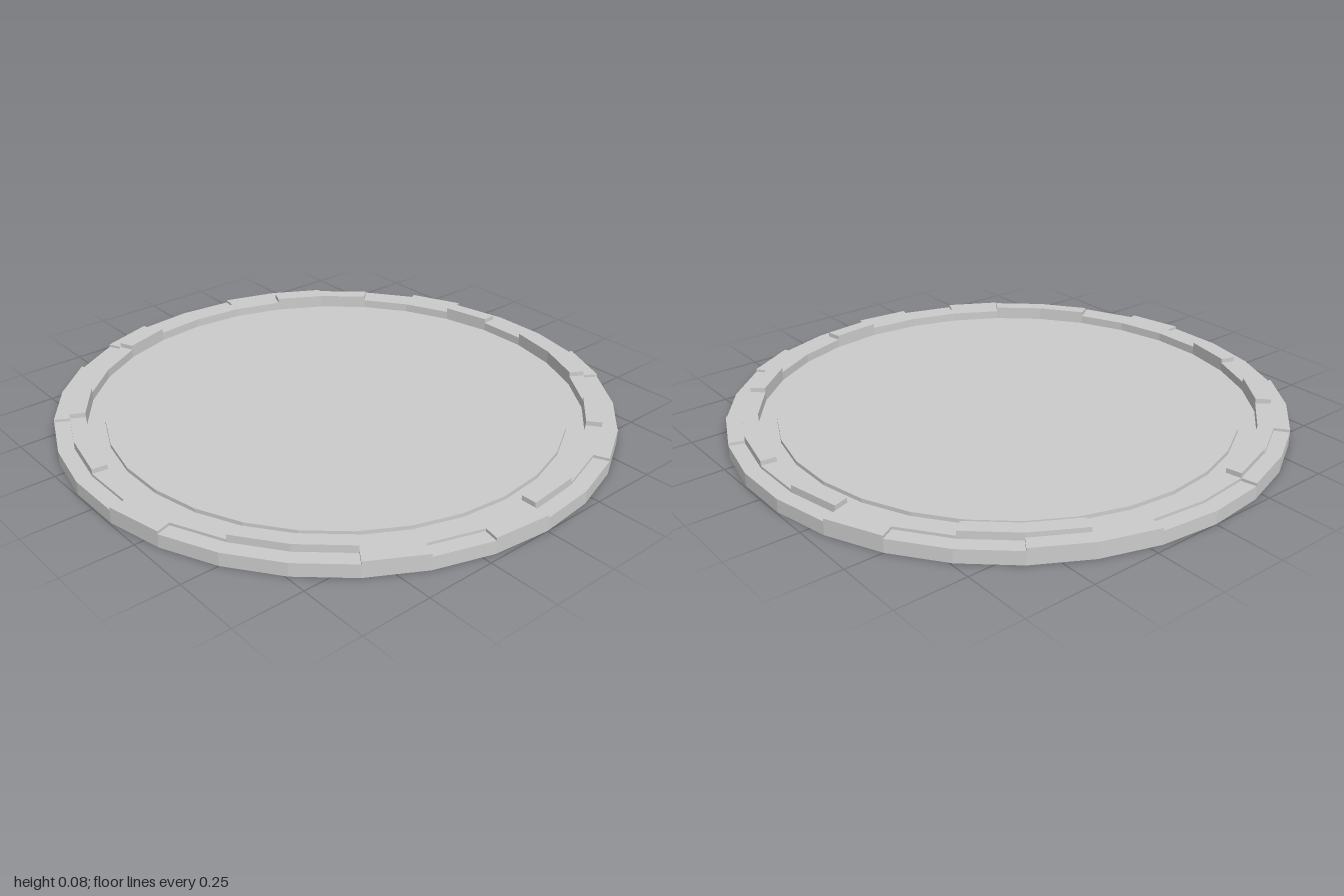
import * as THREE from 'three';

const SIDES = 30;
const LOW = 0.048, HIGH = 0.058, TALL = 0.075, GROOVE = 0.026, DISC = 0.04;

const material = new THREE.MeshStandardMaterial({
  color: 0xcccccc, flatShading: true, side: THREE.DoubleSide,
});

// Corner k of the 30-sided plan, counted from the back towards +x
const corner = (k, r, y) => {
  const a = (k / SIDES) * Math.PI * 2;
  return [r * Math.sin(a), y, -r * Math.cos(a)];
};

// One height per sector, raised in the listed sectors
const heights = (base, raised = [], top = base) =>
  Array.from({ length: SIDES }, (_, k) => (raised.includes(k) ? top : base));

function quadMesh(name, quads) {
  const positions = [];
  for (const [a, b, c, d] of quads) positions.push(...a, ...b, ...c, ...a, ...c, ...d);
  const geometry = new THREE.BufferGeometry();
  geometry.setAttribute('position', new THREE.Float32BufferAttribute(positions, 3));
  geometry.computeVertexNormals();
  const mesh = new THREE.Mesh(geometry, material);
  mesh.name = name;
  return mesh;
}

// Flat ring whose sectors step up and down, with the wall at its outer edge
function steppedRing(name, outer, inner, levels, outsideLevels) {
  const quads = [];
  levels.forEach((y, k) => {
    quads.push([corner(k, inner, y), corner(k + 1, inner, y), corner(k + 1, outer, y), corner(k, outer, y)]);
    const out = outsideLevels[k];
    if (out !== y) {
      quads.push([corner(k, outer, out), corner(k, outer, y), corner(k + 1, outer, y), corner(k + 1, outer, out)]);
    }
    const before = levels[(k + SIDES - 1) % SIDES];
    if (before !== y) {
      quads.push([corner(k, inner, before), corner(k, inner, y), corner(k, outer, y), corner(k, outer, before)]);
    }
  });
  return quadMesh(name, quads);
}

export function createModel() {
  const group = new THREE.Group();
  group.name = 'steppedRoundPlate';

  const rim = heights(LOW, [1, 2, 5, 9, 12, 15, 17, 21, 25, 26, 28], HIGH);
  const blocks = heights(HIGH, [2, 3, 6, 8, 9, 11, 14, 18, 19, 23, 25, 28], TALL);
  const groove = heights(GROOVE);

  // Concentric steps from the outside in; the underside is open
  group.add(steppedRing('outerRim', 1, 0.945, rim, heights(0)));
  group.add(steppedRing('blockRing', 0.945, 0.89, blocks, rim));
  group.add(steppedRing('groove', 0.89, 0.825, groove, blocks));

  // Raised centre disc and its edge
  const edge = [];
  for (let k = 0; k < SIDES; k++) {
    edge.push([corner(k, 0.825, GROOVE), corner(k, 0.825, DISC), corner(k + 1, 0.825, DISC), corner(k + 1, 0.825, GROOVE)]);
  }
  group.add(quadMesh('discEdge', edge));
  const disc = new THREE.Mesh(new THREE.CircleGeometry(0.825, SIDES, Math.PI / 2).rotateX(-Math.PI / 2), material);
  disc.position.y = DISC;
  disc.name = 'centreDisc';
  group.add(disc);

  return group;
}
